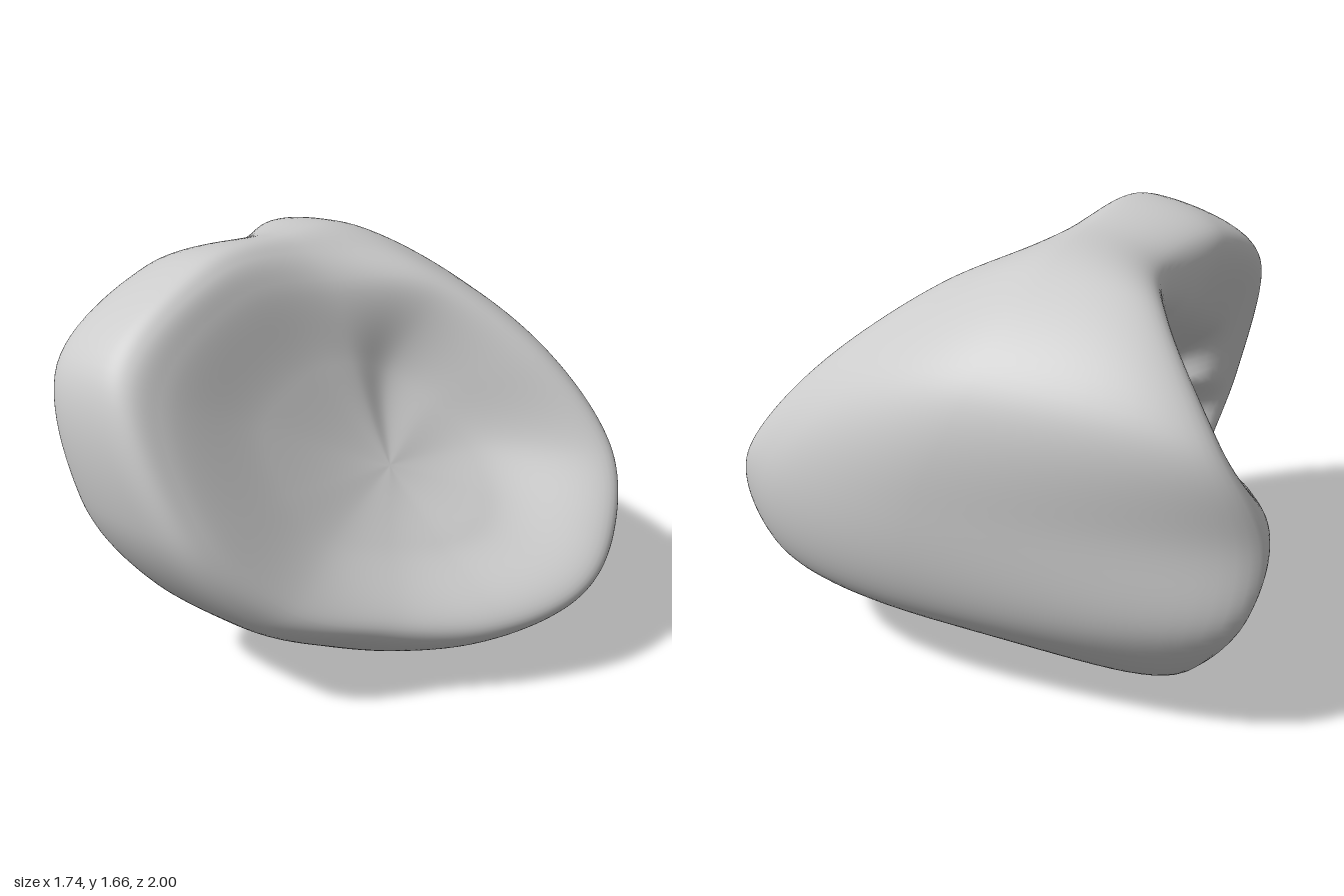
import * as THREE from 'three';
import { mergeVertices } from 'three/addons/utils/BufferGeometryUtils.js';

const CX = 0.05, CY = 0.85;      // axis of the guide rings
const SEG = 144, STEPS = 112;

// One row every 30 degrees, counterclockwise from +x. Radius and z of:
// front hollow, front rim, wall front, widest girth, back rim, back hollow
const ROWS = [
  [0.31, 0.46, 0.61, 0.87, 0.75, 0.69, 0.82, 0.08, 0.52, -0.99, 0.20, -0.86],
  [0.31, 0.32, 0.63, 0.60, 0.80, 0.34, 0.88, -0.12, 0.68, -0.85, 0.32, -0.70],
  [0.33, 0.17, 0.67, 0.25, 0.78, 0.06, 0.835, -0.20, 0.74, -0.59, 0.38, -0.53],
  [0.36, 0.12, 0.64, 0.03, 0.74, -0.07, 0.78, -0.18, 0.68, -0.44, 0.38, -0.46],
  [0.42, 0.06, 0.77, -0.07, 0.87, -0.13, 0.905, -0.20, 0.79, -0.51, 0.44, -0.48],
  [0.48, 0.04, 0.87, -0.10, 0.97, -0.17, 1.00, -0.27, 0.92, -0.54, 0.50, -0.47],
  [0.42, 0.14, 0.79, 0.09, 0.87, 0.03, 0.89, -0.12, 0.82, -0.46, 0.45, -0.43],
  [0.36, 0.26, 0.67, 0.29, 0.76, 0.19, 0.78, 0.00, 0.71, -0.40, 0.48, -0.38],
  [0.28, 0.39, 0.55, 0.51, 0.67, 0.35, 0.73, 0.06, 0.65, -0.42, 0.42, -0.42],
  [0.26, 0.51, 0.52, 0.77, 0.72, 0.48, 0.855, -0.34, 0.79, -0.62, 0.40, -0.55],
  [0.26, 0.60, 0.50, 0.96, 0.67, 0.78, 0.79, 0.04, 0.73, -0.74, 0.36, -0.71],
  [0.28, 0.58, 0.53, 0.98, 0.75, 0.77, 0.84, 0.15, 0.62, -0.95, 0.30, -0.85],
];
const RINGS = [0, 1, 2, 3, 4, 5];

// Furrows pressed into the back: start x, y, end x, y, depth, width
const FURROWS = [
  [0.34, 1.31, 0.00, 1.20, 0.14, 0.10],
  [0.00, 1.20, -0.40, 1.00, 0.13, 0.10],
  [0.40, 1.08, 0.12, 1.01, 0.08, 0.08],
  [-0.32, 0.90, -0.55, 0.74, 0.09, 0.07],
  [-0.25, 0.76, 0.12, 0.42, 0.06, 0.08],
  [-0.25, 0.76, -0.12, 0.40, 0.08, 0.06],
];

function furrowDepth(x, y) {
  let deepest = 0;
  for (const [x0, y0, x1, y1, depth, width] of FURROWS) {
    const dx = x1 - x0, dy = y1 - y0;
    const t = ((x - x0) * dx + (y - y0) * dy) / (dx * dx + dy * dy);
    const k = THREE.MathUtils.clamp(t, 0, 1);
    const d2 = (x - x0 - k * dx) ** 2 + (y - y0 - k * dy) ** 2;
    deepest = Math.max(deepest, depth * Math.exp(-d2 / (width * width)));
  }
  return deepest;
}

function bodyGeometry() {
  // Closed guide rings around the form
  const rings = RINGS.map((k) => new THREE.CatmullRomCurve3(
    ROWS.map((row, i) => {
      const a = (i * Math.PI) / 6, r = row[2 * k];
      return new THREE.Vector3(CX + r * Math.cos(a), CY + r * Math.sin(a), row[2 * k + 1]);
    }), true, 'catmullrom', 0.5));
  const front = new THREE.Vector3(CX, CY, 0.29);
  const back = new THREE.Vector3(-0.13, 0.77, -0.51);
  const pos = [], index = [];

  for (let j = 0; j < SEG; j++) {
    const u = j / SEG, opposite = (u + 0.5) % 1;
    // Profile from front centre over the rim to back centre, smooth across both centres
    const profile = new THREE.CatmullRomCurve3([
      rings[0].getPoint(opposite), front, ...rings.map((c) => c.getPoint(u)),
      back, rings[5].getPoint(opposite),
    ]);
    for (let i = 0; i <= STEPS; i++) {
      const s = (i / STEPS) * 7;
      const p = profile.getPoint((1 + s) / 9);
      p.z += furrowDepth(p.x, p.y) * THREE.MathUtils.smoothstep(s, 4.9, 5.8);
      pos.push(p.x, p.y, p.z);
    }
  }
  const n = STEPS + 1;
  for (let j = 0; j < SEG; j++) {
    const a = j * n, b = ((j + 1) % SEG) * n;
    for (let i = 0; i < STEPS; i++) {
      if (i > 0) index.push(a + i, a + i + 1, b + i);
      if (i < STEPS - 1) index.push(a + i + 1, b + i + 1, b + i);
    }
  }
  let geo = new THREE.BufferGeometry();
  geo.setAttribute('position', new THREE.Float32BufferAttribute(pos, 3));
  geo.setIndex(index);
  geo = mergeVertices(geo, 1e-5);
  geo.computeVertexNormals();
  return geo;
}

export function createModel() {
  const material = new THREE.MeshStandardMaterial({ color: 0xcccccc });
  const group = new THREE.Group();
  group.name = 'sculptedStone';

  const body = new THREE.Mesh(bodyGeometry(), material);
  body.name = 'body';
  group.add(body);

  // Small rounded knob low on the back
  const knob = new THREE.Mesh(new THREE.SphereGeometry(0.1, 32, 20), material);
  knob.name = 'backKnob';
  knob.position.set(-0.18, 0.35, -0.38);
  group.add(knob);
  return group;
}
